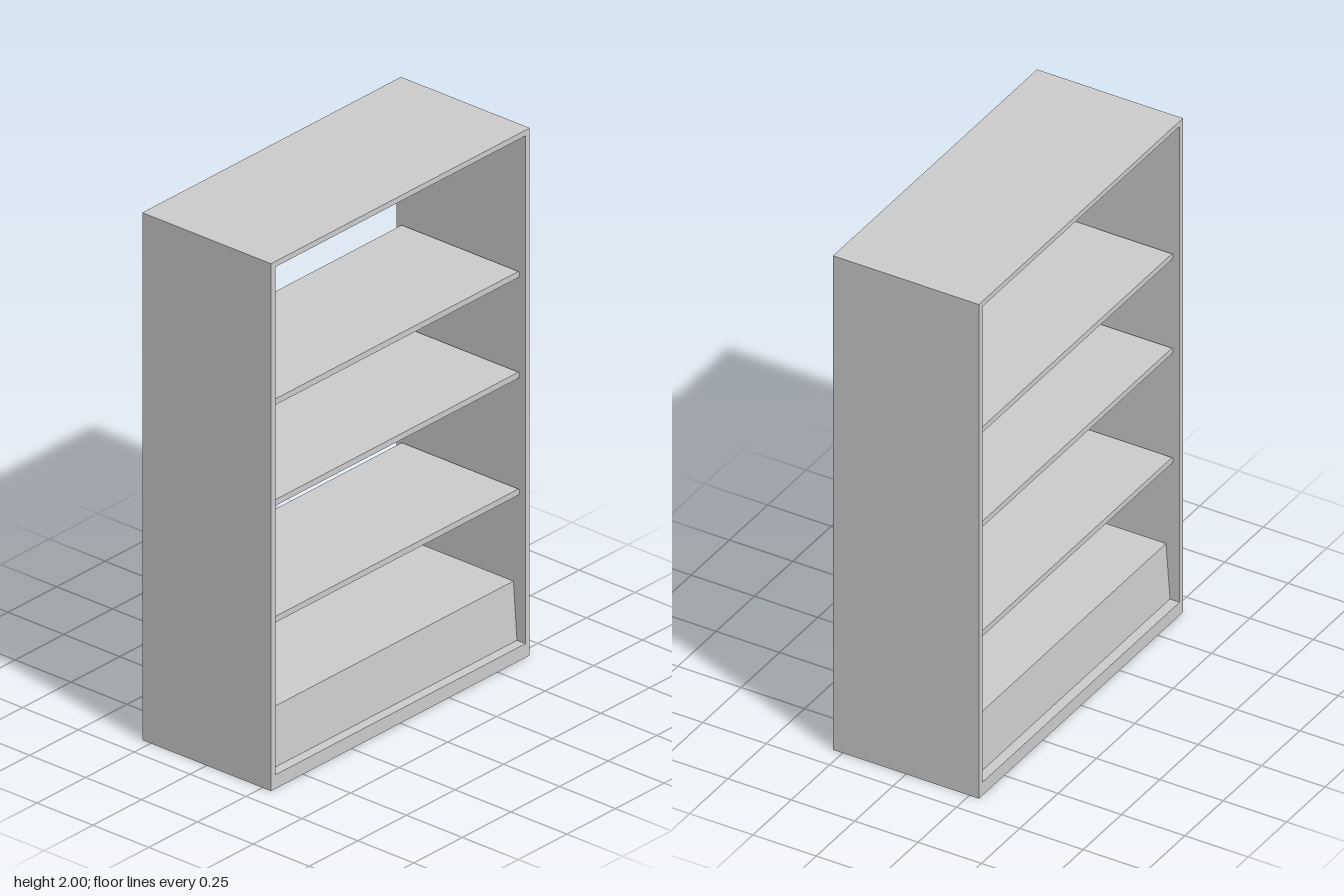
import * as THREE from 'three';

const W = 0.665, IN = 0.643, D = 0.288; // outer half width, inner half width, half depth

// closed 2D outline from corner pairs
function outline(points, Kind = THREE.Shape) {
  return new Kind(points.map(([x, y]) => new THREE.Vector2(x, y)));
}

// extrusion centred on its own axis
function extrude(shape, depth) {
  const geo = new THREE.ExtrudeGeometry(shape, { depth, bevelEnabled: false });
  return geo.translate(0, 0, -depth / 2);
}

export function createModel() {
  const group = new THREE.Group();
  const material = new THREE.MeshStandardMaterial({ color: 0xcccccc, flatShading: true });
  const add = (name, geo) => {
    const mesh = new THREE.Mesh(geo, material);
    mesh.name = name;
    group.add(mesh);
    return mesh;
  };

  // outer case: sides, top and thicker floor, open front and back
  const frame = outline([[-W, 0], [W, 0], [W, 2], [-W, 2]]);
  frame.holes.push(outline([[-IN, 0.053], [-IN, 1.979], [IN, 1.979], [IN, 0.053]], THREE.Path));
  add('case', extrude(frame, 2 * D));

  // shelves: thin boards with slightly chamfered ends, set in from both openings
  const h = 0.0115, c = 0.005;
  const board = outline([
    [-IN + c, -h], [IN - c, -h], [IN, -h + c], [IN, h - c],
    [IN - c, h], [-IN + c, h], [-IN, h - c], [-IN, -h + c],
  ]);
  const boardGeo = extrude(board, 2 * (D - 0.027));
  [0.621, 1.064, 1.446].forEach((y, i) => {
    add(`shelf${i + 1}`, boardGeo).position.y = y;
  });

  // plinth: full-width block with faces leaning slightly inward towards the top
  const zLow = D - 0.038, zHigh = D - 0.054;
  const plinth = outline([[-zLow, 0.053], [zLow, 0.053], [zHigh, 0.272], [-zHigh, 0.272]]);
  add('plinth', extrude(plinth, 2 * IN)).rotation.y = Math.PI / 2;

  return group;
}
